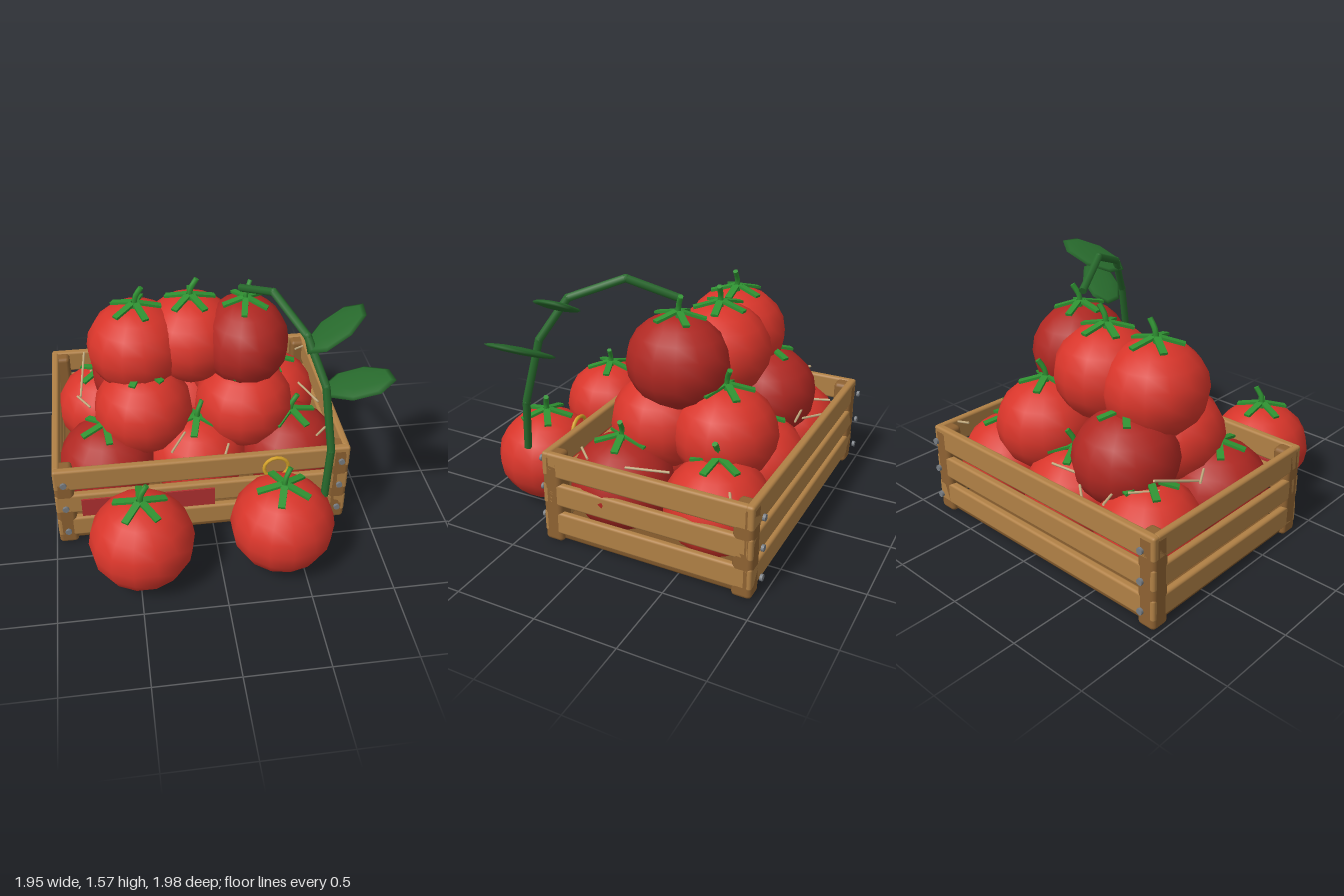
import * as THREE from 'three';
import { RoundedBoxGeometry } from 'three/addons/geometries/RoundedBoxGeometry.js';

const mat = (color) => new THREE.MeshStandardMaterial({ color });
const M = {
  red: mat(0xd8352a), darkRed: mat(0xb02822), green: mat(0x2f9232), vine: mat(0x27692c),
  slat: mat(0xb08045), post: mat(0x8e6232), floor: mat(0x7d5529), steel: mat(0x777c82),
  straw: mat(0xc9b083), label: mat(0xb03030), brass: mat(0xd9a52a),
};
const V = (x, y, z) => new THREE.Vector3(x, y, z);
const UP = V(0, 1, 0);

function add(parent, name, geometry, material, x = 0, y = 0, z = 0) {
  const mesh = new THREE.Mesh(geometry, material);
  mesh.name = name;
  mesh.position.set(x, y, z);
  parent.add(mesh);
  return mesh;
}

// Straight rod between two points
function rod(parent, name, a, b, radius, material, sides = 6) {
  const d = b.clone().sub(a);
  const m = add(parent, name, new THREE.CylinderGeometry(radius, radius, d.length(), sides), material);
  m.position.copy(a).add(b).multiplyScalar(0.5);
  m.quaternion.setFromUnitVectors(UP, d.normalize());
  return m;
}

// Slightly flattened fruit body with a shallow dimple at the stem
function fruitGeometry() {
  const g = new THREE.SphereGeometry(0.315, 14, 10);
  const p = g.attributes.position;
  for (let i = 0; i < p.count; i++) {
    const y = p.getY(i);
    p.setY(i, y > 0.31 ? 0.265 : y * 0.92);
  }
  g.computeVertexNormals();
  // Smooth the seam and poles with analytic ellipsoid normals
  const n = g.attributes.normal;
  const v = V(0, 0, 0);
  for (let i = 0; i < p.count; i++) {
    v.set(p.getX(i), p.getY(i) / 0.85, p.getZ(i)).normalize();
    n.setXYZ(i, v.x, v.y, v.z);
  }
  return g;
}

// Five drooping sepals round a short bent stalk
function calyx() {
  const g = new THREE.Group();
  g.name = 'calyx';
  for (let i = 0; i < 5; i++) {
    const arm = new THREE.Group();
    arm.name = 'sepal';
    arm.rotation.y = (i / 5) * Math.PI * 2;
    const leaf = add(arm, 'sepalBlade', new THREE.BoxGeometry(0.15, 0.016, 0.042), M.green, 0.09, 0.005, 0);
    leaf.rotation.z = -0.26;
    g.add(arm);
  }
  const path = new THREE.CatmullRomCurve3([V(0, -0.02, 0), V(0.005, 0.06, 0), V(0.045, 0.125, 0)]);
  add(g, 'stalk', new THREE.TubeGeometry(path, 5, 0.017, 6), M.green);
  const tip = add(g, 'stalkTip', new THREE.CircleGeometry(0.017, 6), M.green, 0.045, 0.125, 0);
  tip.quaternion.setFromUnitVectors(V(0, 0, 1), path.getTangent(1));
  return g;
}

function buildCrate() {
  const crate = new THREE.Group();
  crate.name = 'crate';
  const cx = -0.065, cz = -0.295, w = 1.83, d = 1.32;
  const box = (a, b, c, r = 0.016) => new RoundedBoxGeometry(a, b, c, 2, r);
  add(crate, 'floor', box(w - 0.06, 0.045, d - 0.06), M.floor, cx, 0.042, cz);
  for (const sx of [-1, 1]) for (const sz of [-1, 1])
    add(crate, 'cornerPost', box(0.12, 0.58, 0.12, 0.025), M.post, cx + sx * 0.855, 0.3, cz + sz * 0.6);
  for (const [y, h] of [[0.14, 0.145], [0.33, 0.145], [0.52, 0.155]]) {
    for (const s of [-1, 1]) {
      add(crate, 'longSlat', box(w, h, 0.05), M.slat, cx, y, cz + s * (d / 2 - 0.025));
      add(crate, 'sideSlat', box(0.045, h, d - 0.06), M.slat, cx + s * (w / 2 - 0.0225), y, cz);
      // Nail heads stand just off the front and back slats
      for (const sx of [-1, 1]) {
        const nail = add(crate, 'nail', new THREE.CylinderGeometry(0.02, 0.02, 0.016, 8), M.steel,
          cx + sx * 0.852, y, cz + s * 0.697);
        nail.rotation.x = Math.PI / 2;
      }
    }
  }
  add(crate, 'labelPanel', new THREE.BoxGeometry(0.82, 0.13, 0.01), M.label, -0.41, 0.327, 0.395);
  add(crate, 'ring', new THREE.TorusGeometry(0.075, 0.012, 6, 16), M.brass, 0.375, 0.525, 0.405);
  return crate;
}

function buildTomatoes() {
  const all = new THREE.Group();
  all.name = 'tomatoes';
  const body = fruitGeometry();
  // x, y, z of each centre, then whether it is the darker red
  const spots = [
    [-0.475, 0.3, 0.675], [0.375, 0.3, 0.645],
    [-0.64, 0.35, 0, 1], [-0.06, 0.35, 0], [0.54, 0.35, 0, 1],
    [-0.64, 0.35, -0.61], [-0.06, 0.35, -0.61], [0.53, 0.35, -0.61],
    [-0.39, 0.67, -0.12], [0.255, 0.66, -0.12], [-0.39, 0.67, -0.53, 1], [0.26, 0.67, -0.53],
    [-0.405, 1.03, -0.3], [-0.06, 1.04, -0.34], [0.27, 1.06, -0.225, 1],
  ];
  spots.forEach(([x, y, z, dark], i) => {
    const t = new THREE.Group();
    t.name = 'tomato';
    t.position.set(x, y, z);
    add(t, 'fruit', body, dark ? M.darkRed : M.red).rotation.y = i * 0.7;
    const c = calyx();
    c.position.y = 0.28;
    c.rotation.y = 0.3 + Math.sin(i * 2.4) * 0.5;
    t.add(c);
    all.add(t);
  });
  // The top fruit that carries the vine is slimmer across
  all.children[14].scale.x = 0.88;
  return all;
}

function buildVine() {
  const vine = new THREE.Group();
  vine.name = 'vine';
  const pts = [V(0.24, 1.43, -0.23), V(0.38, 1.55, 0.05), V(0.52, 1.43, 0.35),
    V(0.61, 1.18, 0.5), V(0.65, 0.78, 0.59), V(0.63, 0.46, 0.615)];
  for (let i = 0; i < pts.length - 1; i++) {
    rod(vine, 'vineSegment', pts[i], pts[i + 1], 0.024, M.vine, 7);
    if (i) add(vine, 'vineJoint', new THREE.SphereGeometry(0.025, 7, 5), M.vine, ...pts[i].toArray());
  }
  // Flat oval leaves tilted up and outwards
  const normal = V(-0.44, 0.9, 0).normalize();
  const leafShape = new THREE.SphereGeometry(1, 8, 6);
  for (const [x, y, z, az] of [[0.69, 1.44, 0.31, -0.47], [0.8, 1.18, 0.49, 0.52]]) {
    const along = V(0.8, 0.391, az).normalize();
    const side = along.clone().cross(normal).normalize();
    const leaf = add(vine, 'leaf', leafShape, M.vine, x, y, z);
    leaf.quaternion.setFromRotationMatrix(new THREE.Matrix4().makeBasis(along, normal, side));
    leaf.scale.set(0.225, 0.022, 0.135);
  }
  return vine;
}

function buildStraw() {
  const straw = new THREE.Group();
  straw.name = 'straw';
  // Loose stalks scattered over the fruit: two end points each
  const stalks = [
    [-0.75, 0.73, -0.7, -0.79, 0.6, -0.37], [0.68, 0.57, -0.38, 0.76, 0.58, -0.14],
    [-0.15, 0.61, 0.1, -0.25, 0.6, 0.27], [-0.42, 0.57, -0.91, -0.3, 0.57, -0.81],
    [0.67, 0.58, 0.2, 0.77, 0.58, 0.1], [-0.27, 0.64, -0.81, -0.1, 0.64, -0.83],
    [-0.57, 0.6, -0.9, -0.53, 0.6, -0.79], [0.74, 0.58, -0.77, 0.82, 0.58, -0.81],
    [-0.81, 0.6, -0.38, -0.73, 0.6, -0.25], [0.07, 0.56, 0.31, 0.11, 0.58, 0.21],
    [-0.62, 0.63, -0.76, -0.72, 0.62, -0.62],
  ];
  for (const s of stalks) rod(straw, 'strawStalk', V(...s.slice(0, 3)), V(...s.slice(3)), 0.008, M.straw, 5);
  return straw;
}

export function createModel() {
  const model = new THREE.Group();
  model.name = 'tomatoCrate';
  model.add(buildCrate(), buildTomatoes(), buildVine(), buildStraw());
  return model;
}
